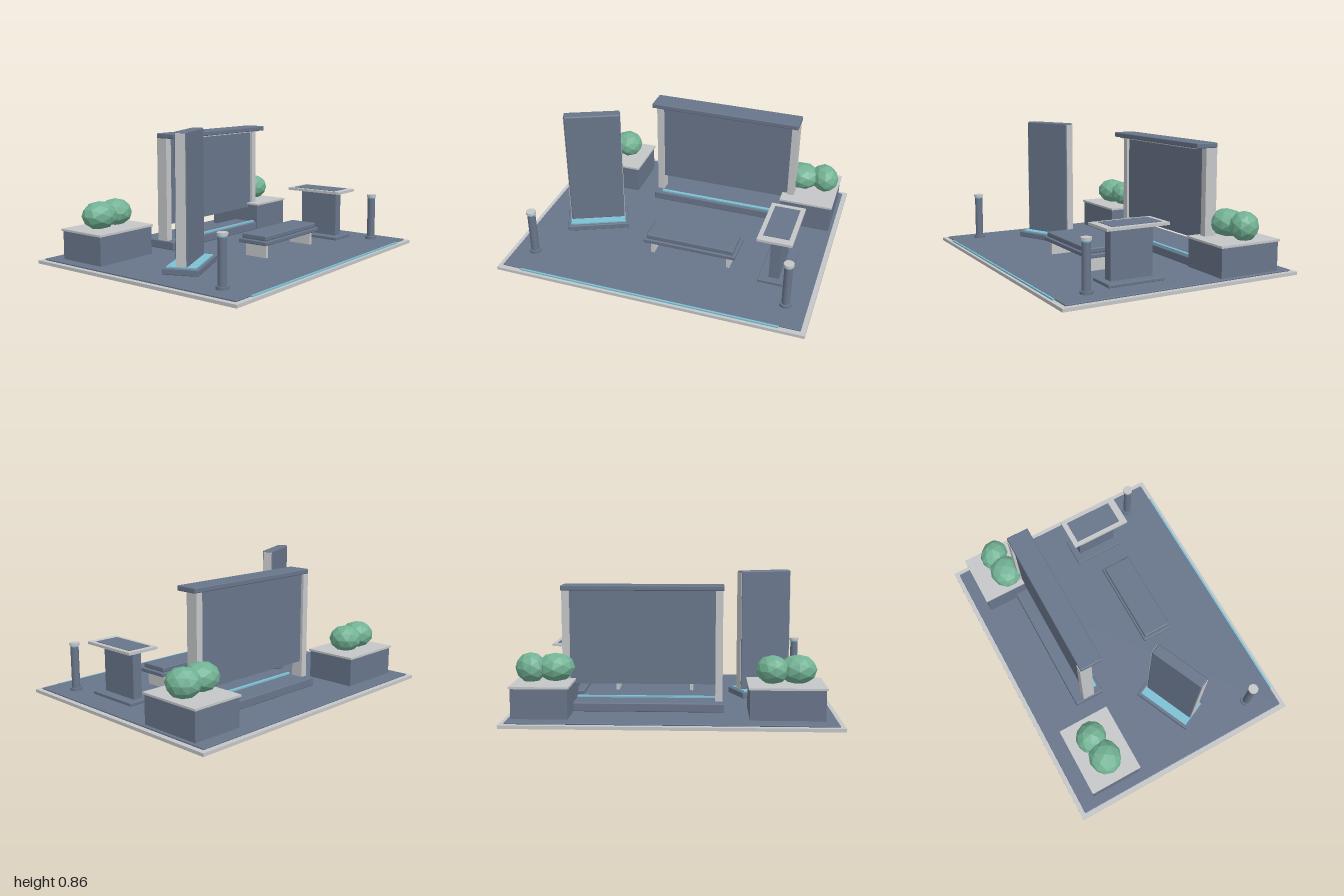
import * as THREE from 'three';
import { RoundedBoxGeometry } from 'three/addons/geometries/RoundedBoxGeometry.js';

const material = (name, color, flatShading = false) => {
  const m = new THREE.MeshStandardMaterial({ color, flatShading });
  m.name = name;
  return m;
};

export function createModel() {
  const slate = material('slate', 0x68758a);
  const stone = material('pale stone', 0xc4c6c8);
  const glow = material('pale cyan', 0x7cc0d4);
  const leaf = material('leaf green', 0x72b294, true);

  const group = (name, parent, x = 0, z = 0) => {
    const g = new THREE.Group();
    g.name = name;
    g.position.set(x, 0, z);
    parent.add(g);
    return g;
  };
  const add = (parent, name, geometry, mat, x, y, z) => {
    const m = new THREE.Mesh(geometry, mat);
    m.name = name;
    m.position.set(x, y, z);
    parent.add(m);
    return m;
  };
  // Box given by its centre in x and z, its bottom and top, and an optional edge radius
  const box = (parent, name, mat, x, z, w, d, y0, y1, r = 0) => {
    const h = y1 - y0;
    const geometry = r ? new RoundedBoxGeometry(w, h, d, 2, r) : new THREE.BoxGeometry(w, h, d);
    return add(parent, name, geometry, mat, x, (y0 + y1) / 2, z);
  };
  const disc = (parent, name, mat, r, y0, y1) =>
    add(parent, name, new THREE.CylinderGeometry(r, r, y1 - y0, 24), mat, 0, (y0 + y1) / 2, 0);

  const model = group('plaza', new THREE.Group());
  model.removeFromParent();

  // Ground slab with paving and a light strip along the front
  const ground = group('ground', model);
  box(ground, 'groundRim', stone, 0, 0, 2, 1.58, 0, 0.02);
  box(ground, 'paving', slate, 0, 0, 1.94, 1.52, 0.02, 0.03, 0.004);
  box(ground, 'frontLightStrip', glow, 0, 0.766, 1.68, 0.012, 0.02, 0.029);

  // Screen wall: plinth, two posts, hanging panel and cap
  const wall = group('screenWall', model, 0.19, -0.37);
  box(wall, 'wallPlinth', slate, 0, 0, 1, 0.2, 0.03, 0.085, 0.006);
  box(wall, 'plinthLight', glow, 0, 0.07, 0.9, 0.022, 0.085, 0.095);
  for (const s of [-1, 1]) box(wall, 'wallPost', stone, s * 0.47, 0, 0.045, 0.08, 0.085, 0.767);
  box(wall, 'wallPanel', slate, 0, 0, 0.9, 0.045, 0.19, 0.767);
  box(wall, 'wallCap', slate, 0, 0.0375, 1, 0.148, 0.766, 0.798, 0.006);
  box(wall, 'capLight', stone, 0, 0.085, 0.9, 0.015, 0.759, 0.767);

  // Turned upright slab with pale ends on a lit plinth
  const totem = group('displaySlab', model, -0.583, 0.116);
  totem.rotation.y = 0.42;
  box(totem, 'slabPlinth', slate, 0, 0, 0.41, 0.223, 0.03, 0.068, 0.005);
  box(totem, 'slabLight', glow, 0, 0, 0.37, 0.185, 0.068, 0.076);
  box(totem, 'slab', slate, 0, 0, 0.362, 0.072, 0.07, 0.862, 0.01);
  for (const s of [-1, 1]) box(totem, 'slabEnd', stone, s * 0.18, 0, 0.007, 0.06, 0.077, 0.852);

  // Planters with faceted shrubs: [x, z, rx, ry, rz] for each shrub
  const planters = [
    { x: -0.68, z: -0.49, w: 0.46, d: 0.35,
      shrubs: [[-0.75, -0.49, 0.116, 0.09, 0.106], [-0.597, -0.507, 0.098, 0.088, 0.106]] },
    { x: 0.78, z: -0.468, w: 0.355, d: 0.432,
      shrubs: [[0.712, -0.472, 0.118, 0.088, 0.106], [0.86, -0.488, 0.09, 0.093, 0.106]] },
  ];
  for (const p of planters) {
    const planter = group('planter', model);
    box(planter, 'planterBox', slate, p.x, p.z, p.w - 0.016, p.d - 0.016, 0.03, 0.211);
    box(planter, 'planterLid', stone, p.x, p.z, p.w, p.d, 0.211, 0.224);
    p.shrubs.forEach(([x, z, rx, ry, rz], i) => {
      const shrub = add(planter, 'shrub', new THREE.IcosahedronGeometry(1, 1), leaf, x, 0.306, z);
      shrub.scale.set(rx, ry, rz);
      shrub.rotation.y = i * 0.7;
    });
  }

  // Bench
  const bench = group('bench', model, 0.155, 0.258);
  for (const s of [-1, 1]) box(bench, 'benchLeg', stone, s * 0.255, 0, 0.022, 0.16, 0.03, 0.118);
  box(bench, 'benchSeat', slate, 0, 0, 0.615, 0.215, 0.117, 0.144, 0.006);
  box(bench, 'benchPad', slate, 0, 0, 0.58, 0.19, 0.143, 0.177, 0.008);

  // Information stand with an inset top
  const stand = group('informationStand', model, 0.717, 0.228);
  box(stand, 'standFoot', slate, 0, 0, 0.19, 0.37, 0.03, 0.05, 0.004);
  box(stand, 'standPedestal', slate, 0, 0, 0.065, 0.28, 0.05, 0.356);
  box(stand, 'standTop', stone, 0, 0, 0.22, 0.412, 0.356, 0.373);
  box(stand, 'standInset', slate, 0, -0.007, 0.162, 0.328, 0.372, 0.376);

  // Front bollards
  for (const s of [-1, 1]) {
    const bollard = group('bollard', model, s * 0.838, 0.567);
    disc(bollard, 'bollardFoot', slate, 0.038, 0.03, 0.048);
    disc(bollard, 'bollardPost', slate, 0.026, 0.048, 0.319);
    disc(bollard, 'bollardLight', glow, 0.027, 0.319, 0.328);
    disc(bollard, 'bollardCap', stone, 0.032, 0.328, 0.344);
  }

  return model;
}
